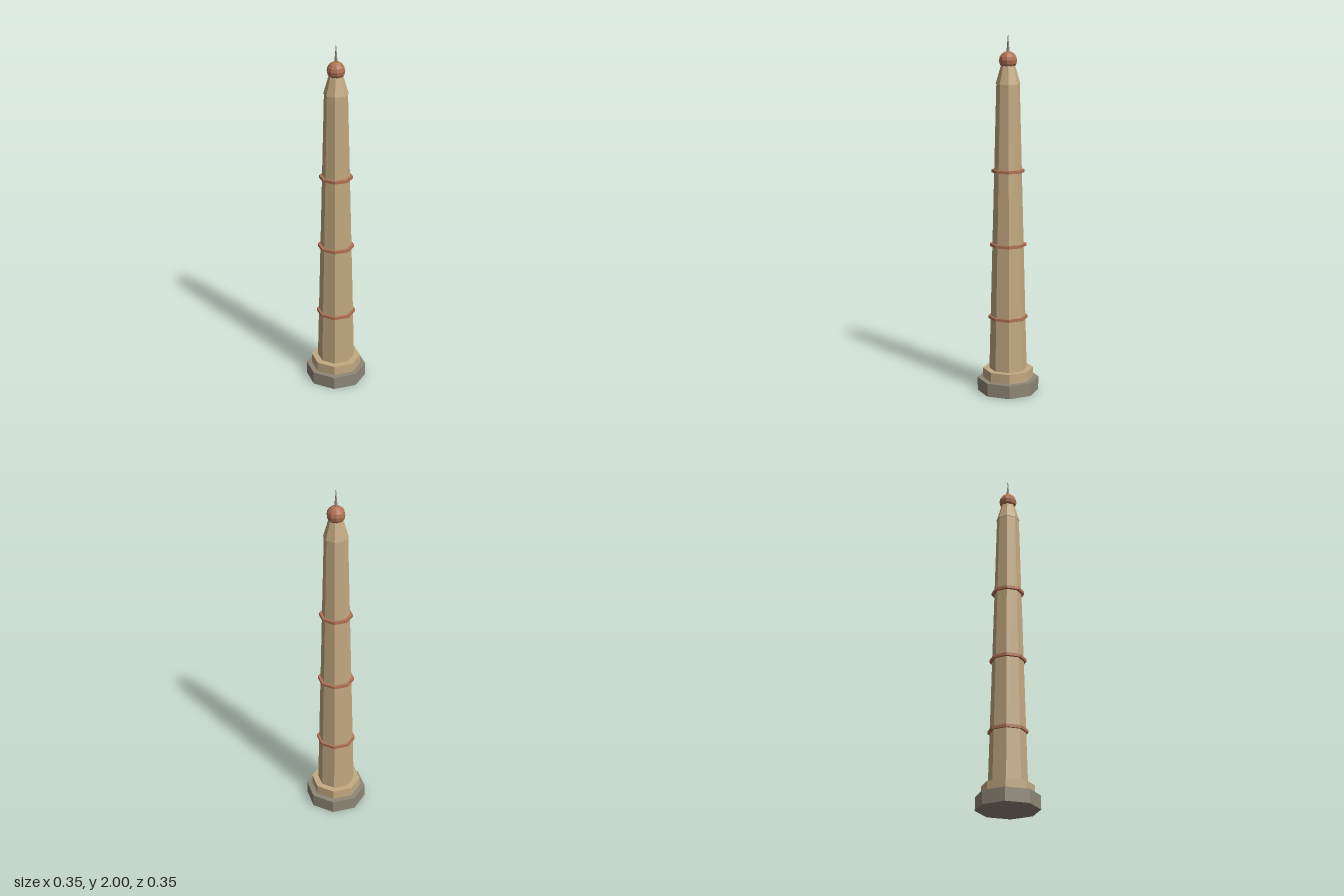
import * as THREE from 'three';

export function createModel() {
  const model = new THREE.Group();
  const material = (name, color) => {
    const m = new THREE.MeshStandardMaterial({ color, flatShading: true });
    m.name = name;
    return m;
  };
  const sand = material('sandstone', 0xc4aa82);
  const stone = material('grey stone', 0x8f8778);
  const clay = material('terracotta', 0xb27355);

  const add = (name, geometry, mat, y) => {
    const mesh = new THREE.Mesh(geometry, mat);
    mesh.name = name;
    mesh.position.y = y;
    model.add(mesh);
  };
  // Octagonal tier between two heights, corners on the axes
  const tier = (name, y0, y1, r0, r1, mat, sides = 8) =>
    add(name, new THREE.CylinderGeometry(r1, r0, y1 - y0, sides), mat, (y0 + y1) / 2);

  // Stepped base
  tier('plinth', 0, 0.075, 0.173, 0.173, stone);
  tier('baseStep', 0.075, 0.13, 0.142, 0.142, sand);

  // Tapering tower with a slightly wider sloped cap
  tier('shaft', 0.13, 1.735, 0.106, 0.064, sand);
  tier('cap', 1.735, 1.835, 0.068, 0.039, sand);

  // Collar bands
  [[0.43, 0.11], [0.845, 0.102], [1.26, 0.092]].forEach(([y, r], i) =>
    tier(`collar${i + 1}`, y - 0.008, y + 0.008, r, r, clay));

  // Dome and spike
  add('dome', new THREE.SphereGeometry(0.05, 10, 8), clay, 1.863);
  tier('spike', 1.9, 2, 0.01, 0.001, stone, 6);

  return model;
}
